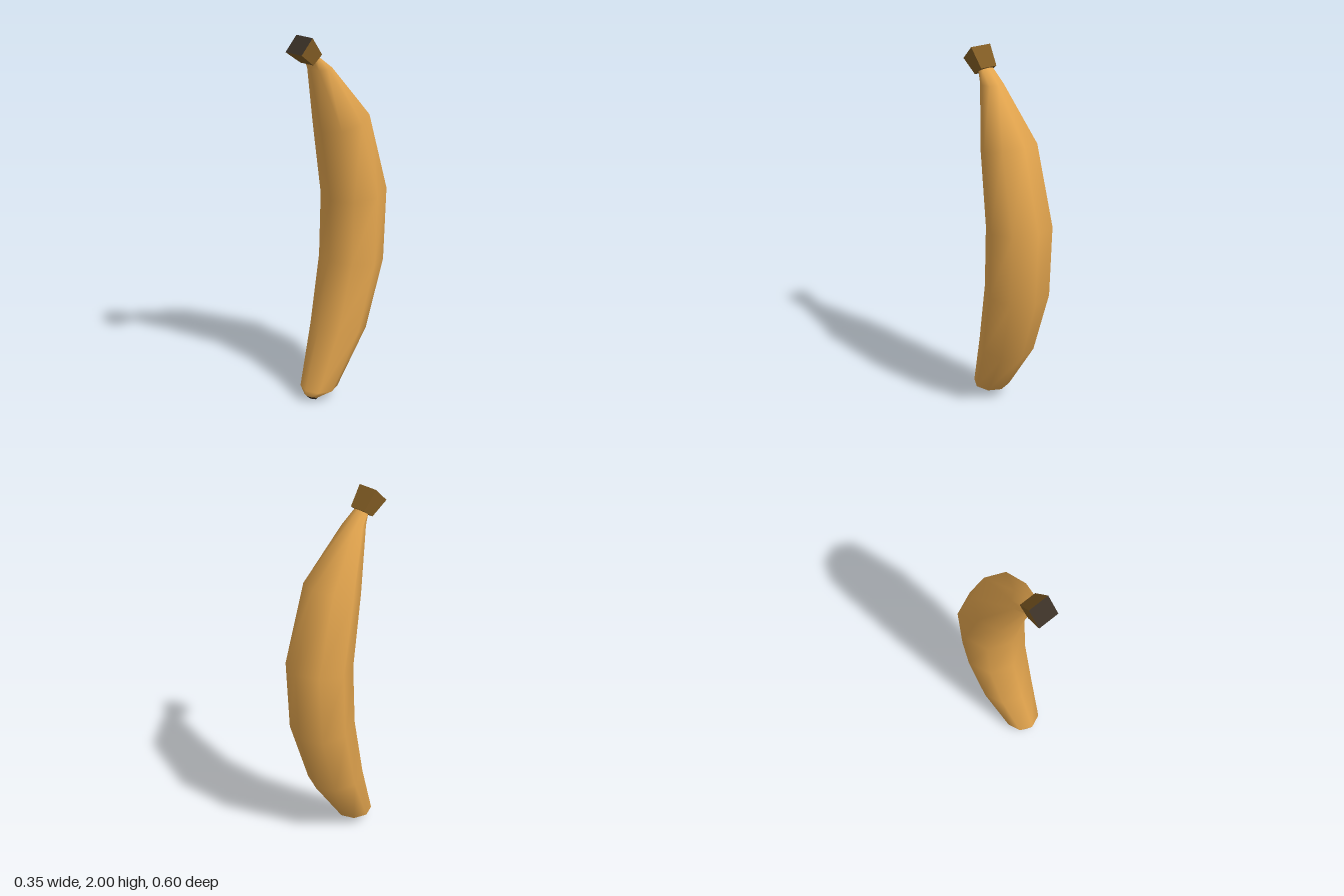
import * as THREE from 'three';

// Each ring: [front z, front y, back z, back y, half width], listed bottom to top.
function ringPoints([fz, fy, bz, by, w], sides) {
  const square = sides === 4;
  const k = square ? Math.SQRT2 : 1;
  const points = [];
  for (let j = 0; j < sides; j++) {
    const a = (j / sides) * Math.PI * 2 + (square ? Math.PI / 4 : 0);
    const s = Math.sin(a) * k, c = Math.cos(a) * k;
    points.push(w * s, (fy + by) / 2 + c * (fy - by) / 2, (fz + bz) / 2 + c * (fz - bz) / 2);
  }
  return points;
}

// Skin a stack of rings, optionally closing either end.
function loft(rings, sides, { flat = false, bottom = false, top = false } = {}) {
  const positions = rings.flatMap(r => ringPoints(r, sides));
  const index = [];
  for (let i = 0; i < rings.length - 1; i++) {
    for (let j = 0; j < sides; j++) {
      const a = i * sides + j, b = i * sides + (j + 1) % sides;
      index.push(a, b, b + sides, a, b + sides, a + sides);
    }
  }
  const last = (rings.length - 1) * sides;
  for (let j = 1; j < sides - 1; j++) {
    if (bottom) index.push(0, j + 1, j);
    if (top) index.push(last, last + j, last + j + 1);
  }
  let geometry = new THREE.BufferGeometry();
  geometry.setAttribute('position', new THREE.Float32BufferAttribute(positions, 3));
  geometry.setIndex(index);
  if (flat) geometry = geometry.toNonIndexed();
  geometry.computeVertexNormals();
  return geometry;
}

export function createModel() {
  const group = new THREE.Group();
  const material = (name, color) => {
    const m = new THREE.MeshStandardMaterial({ color });
    m.name = name;
    return m;
  };
  const peelYellow = material('peel yellow', 0xe3a54e);
  const stemBrown = material('stem brown', 0x805b23);
  const darkBrown = material('dark brown', 0x3a3026);

  const add = (name, geometry, mat) => {
    const mesh = new THREE.Mesh(geometry, mat);
    mesh.name = name;
    group.add(mesh);
  };

  // Curved eight-sided peel
  const tipRing = [0.232, 0.032, 0.16, 0.012, 0.04];
  add('peel', loft([
    tipRing,
    [0.24, 0.066, 0.04, 0.06, 0.1],
    [0.14, 0.4, -0.16, 0.355, 0.15],
    [0.062, 0.77, -0.28, 0.73, 0.174],
    [0.048, 1.105, -0.3, 1.14, 0.175],
    [0.11, 1.49, -0.172, 1.57, 0.15],
    [0.186, 1.825, 0.06, 1.83, 0.06],
    [0.2, 1.868, 0.155, 1.9, 0.045],
  ], 8), peelYellow);

  // Dark blossom end under the peel
  add('blossomTip', loft([
    [0.215, 0.014, 0.17, 0, 0.027],
    tipRing,
  ], 8, { flat: true, bottom: true }), darkBrown);

  // Square stem flaring to its cut end
  const cutEnd = [0.3, 1.925, 0.225, 2, 0.057];
  add('stem', loft([
    [0.21, 1.86, 0.15, 1.905, 0.046],
    cutEnd,
  ], 4, { flat: true, bottom: true }), stemBrown);
  add('stemCutEnd', loft([cutEnd], 4, { flat: true, top: true }), darkBrown);

  return group;
}
